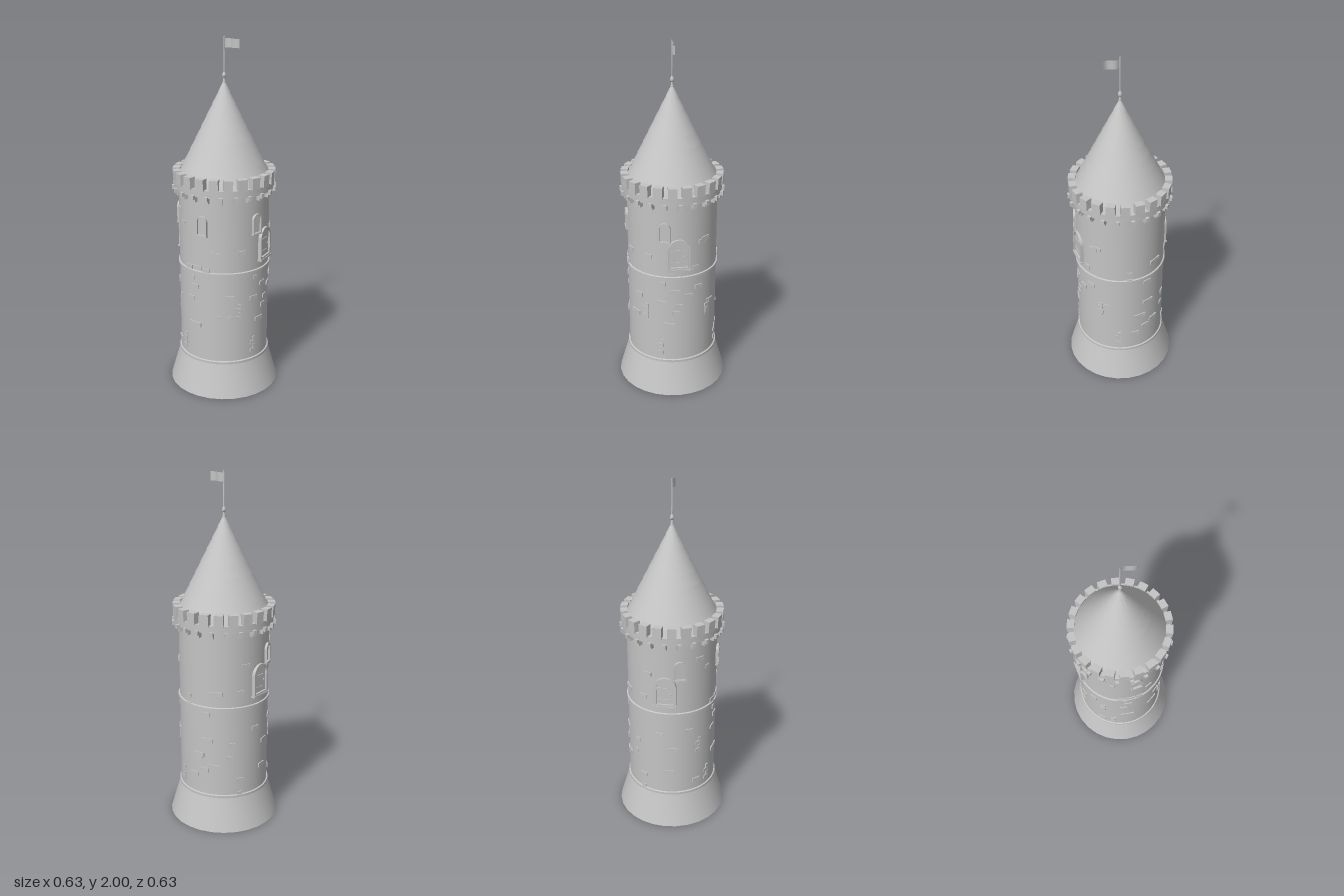
import * as THREE from 'three';
import { toCreasedNormals } from 'three/addons/utils/BufferGeometryUtils.js';

const SIDES = 28, WALL = 0.253;
const rad = THREE.MathUtils.degToRad;

export function createModel() {
  const root = new THREE.Group();
  root.name = 'tower';
  const stone = new THREE.MeshStandardMaterial({ color: 0xc4c4c4 });
  stone.name = 'grey stone';
  const cloth = stone.clone();
  cloth.name = 'grey cloth';
  cloth.side = THREE.DoubleSide;

  const add = (geo, name, parent = root, mat = stone) => {
    const m = new THREE.Mesh(geo, mat);
    m.name = name;
    parent.add(m);
    return m;
  };
  const lathe = (pts, name, sides = SIDES) =>
    add(toCreasedNormals(new THREE.LatheGeometry(pts.map(p => new THREE.Vector2(...p)), sides), 0.4), name);
  // group turned to an angle around the tower, 0 is the front and 90 is +x
  const spoke = (deg, name) => {
    const g = new THREE.Group();
    g.name = name;
    g.rotation.y = rad(deg);
    root.add(g);
    return g;
  };
  const box = (w, h, d, x, y, z, name, parent) => {
    const m = add(new THREE.BoxGeometry(w, h, d), name, parent);
    m.position.set(x, y, z);
    return m;
  };

  // walls
  lathe([[0, 0], [0.315, 0], [0.258, 0.195], [0, 0.195]], 'slopedBase');
  lathe([[0.25, 0.19], [WALL, 0.19], [WALL, 1.19], [0.25, 1.19]], 'wall', 56);
  for (const [y, n] of [[0.2, 'lowerBand'], [0.738, 'upperBand']])
    lathe([[0.25, y - 0.008], [0.261, y - 0.008], [0.261, y + 0.006], [0.25, y + 0.01]], n, 56);

  // parapet: drum, brackets and merlons
  lathe([[0, 1.178], [0.277, 1.178], [0.277, 1.22], [0, 1.22]], 'parapet', 44);
  const COUNT = 22;
  for (let i = 0; i < COUNT; i++) {
    const a = i * 360 / COUNT;
    const m = spoke(a, 'merlon');
    box(0.05, 0.044, 0.036, 0, 1.237, 0.265, 'merlonBlock', m);
    box(0.05, 0.022, 0.04, 0, 1.269, 0.265, 'merlonCap', m);
    const c = spoke(a + 180 / COUNT, 'bracket');
    box(0.02, 0.024, 0.045, 0, 1.175, 0.269, 'bracketTop', c);
    box(0.02, 0.018, 0.03, 0, 1.156, 0.262, 'bracketFoot', c);
  }

  // roof built from slightly lapped rows
  const roof = [[0, 1.252]];
  const ROWS = 8, R = 0.25, Y0 = 1.255, Y1 = 1.765;
  for (let i = 0; i < ROWS; i++) {
    const t0 = i / ROWS, t1 = (i + 1) / ROWS;
    roof.push([R * (1 - t0) + 0.002, Y0 + (Y1 - Y0) * t0]);
    roof.push([Math.max(R * (1 - t1) - 0.001, 0), Y0 + (Y1 - Y0) * t1]);
  }
  lathe(roof, 'roof', 32);

  // finial and pole
  lathe([[0, 1.745], [0.01, 1.745], [0.006, 1.765], [0.005, 1.775], [0.01, 1.782], [0.011, 1.79],
    [0.008, 1.799], [0.004, 1.806], [0.0035, 1.99], [0, 2]], 'finialAndPole', 12);

  // waving flag
  const flag = new THREE.PlaneGeometry(0.09, 0.048, 16, 1);
  const fp = flag.attributes.position;
  for (let i = 0; i < fp.count; i++) {
    const x = fp.getX(i) + 0.045;
    fp.setXYZ(i, x + 0.002, fp.getY(i) + 1.959, -0.007 * Math.sin((x / 0.09) * Math.PI * 2));
  }
  flag.computeVertexNormals();
  add(flag, 'flag', root, cloth);

  // arched outline standing on y = 0
  const arch = (w, h, Type = THREE.Shape, inset = 0) => {
    const r = w / 2 - inset, top = h - w / 2, s = new Type();
    s.moveTo(-r, inset);
    s.lineTo(r, inset);
    s.lineTo(r, top);
    s.absarc(0, top, r, 0, Math.PI, false);
    s.lineTo(-r, inset);
    return s;
  };
  const extrude = (shape, from, to) => {
    const g = new THREE.ExtrudeGeometry(shape, { depth: to - from, bevelEnabled: false, curveSegments: 10 });
    g.translate(0, 0, from);
    return g;
  };
  const opening = (deg, y, w, h, rim, name) => {
    const g = spoke(deg, name);
    g.position.y = y;
    const frame = arch(w, h);
    frame.holes.push(arch(w, h, THREE.Path, rim));
    add(extrude(frame, 0.235, 0.265), name + 'Frame', g);
    add(extrude(arch(w, h, THREE.Shape, rim), 0.235, 0.2545), name + 'Panel', g);
    return g;
  };

  // windows with sills
  for (const a of [0, 72, 288]) {
    const g = opening(a, 0.955, 0.064, 0.115, 0.007, 'window');
    box(0.07, 0.008, 0.03, 0, 0, 0.252, 'sill', g);
  }
  // doors on both sides, with straps and handle
  for (const a of [90, 270]) {
    const g = opening(a, 0.795, 0.122, 0.178, 0.012, 'door');
    for (const y of [0.04, 0.11]) box(0.07, 0.007, 0.006, -0.01, y, 0.255, 'strap', g);
    const knob = add(new THREE.SphereGeometry(0.005, 10, 8), 'handle', g);
    knob.position.set(0.034, 0.075, 0.257);
    box(0.13, 0.01, 0.034, 0, -0.003, 0.252, 'doorstep', g);
  }

  // raised stones: angle, height, width
  const brick = (deg, y, w, h = 0.024) =>
    box(w, h, 0.012, 0, y, WALL - 0.001, 'raisedStone', spoke(deg, 'stone'));
  const stones = [
    [-45, 1.065, 0.045], [-32, 1.0, 0.03], [18, 0.855, 0.045], [-20, 0.76, 0.045], [-7, 0.765, 0.05], [5, 0.755, 0.04],
    [-15, 0.7, 0.025], [-11, 0.65, 0.05], [-17, 0.575, 0.045], [-11, 0.42, 0.08], [28, 0.475, 0.07], [-48, 0.27, 0.05],
    [50, 0.86, 0.045], [35, 0.6, 0.05], [70, 0.7, 0.025], [85, 0.65, 0.05], [117, 0.665, 0.05], [122, 0.94, 0.05],
    [86, 0.515, 0.04], [91, 0.56, 0.035], [78, 0.44, 0.06], [103, 0.62, 0.045], [112, 0.79, 0.035], [127, 0.95, 0.05],
    [140, 0.54, 0.035], [132, 0.49, 0.03], [186, 0.44, 0.045], [178, 0.32, 0.05], [195, 0.7, 0.05], [170, 0.79, 0.03],
    [208, 0.825, 0.075], [240, 0.83, 0.04], [247, 0.98, 0.045], [170, 0.74, 0.03], [197, 0.545, 0.07], [229, 0.52, 0.035],
    [185, 0.45, 0.07], [193, 0.36, 0.05], [207, 0.385, 0.06], [226, 0.44, 0.03], [239, 0.3, 0.045], [239, 0.215, 0.025],
    [262, 0.6, 0.05], [280, 0.5, 0.05], [300, 0.62, 0.045], [275, 0.35, 0.05], [68, 0.58, 0.05]
  ];
  stones.forEach(s => brick(...s));
  // columns of alternating wide and narrow stones
  for (const [a, y] of [[-46, 0.475], [46, 0.475], [131, 0.475], [-31, 0.255], [67, 0.255], [155, 0.255]])
    for (let i = 0; i < 4; i++) brick(a + (i % 2 ? 2 : 0), y + i * 0.024, i % 2 ? 0.018 : 0.032, 0.022);

  return root;
}
